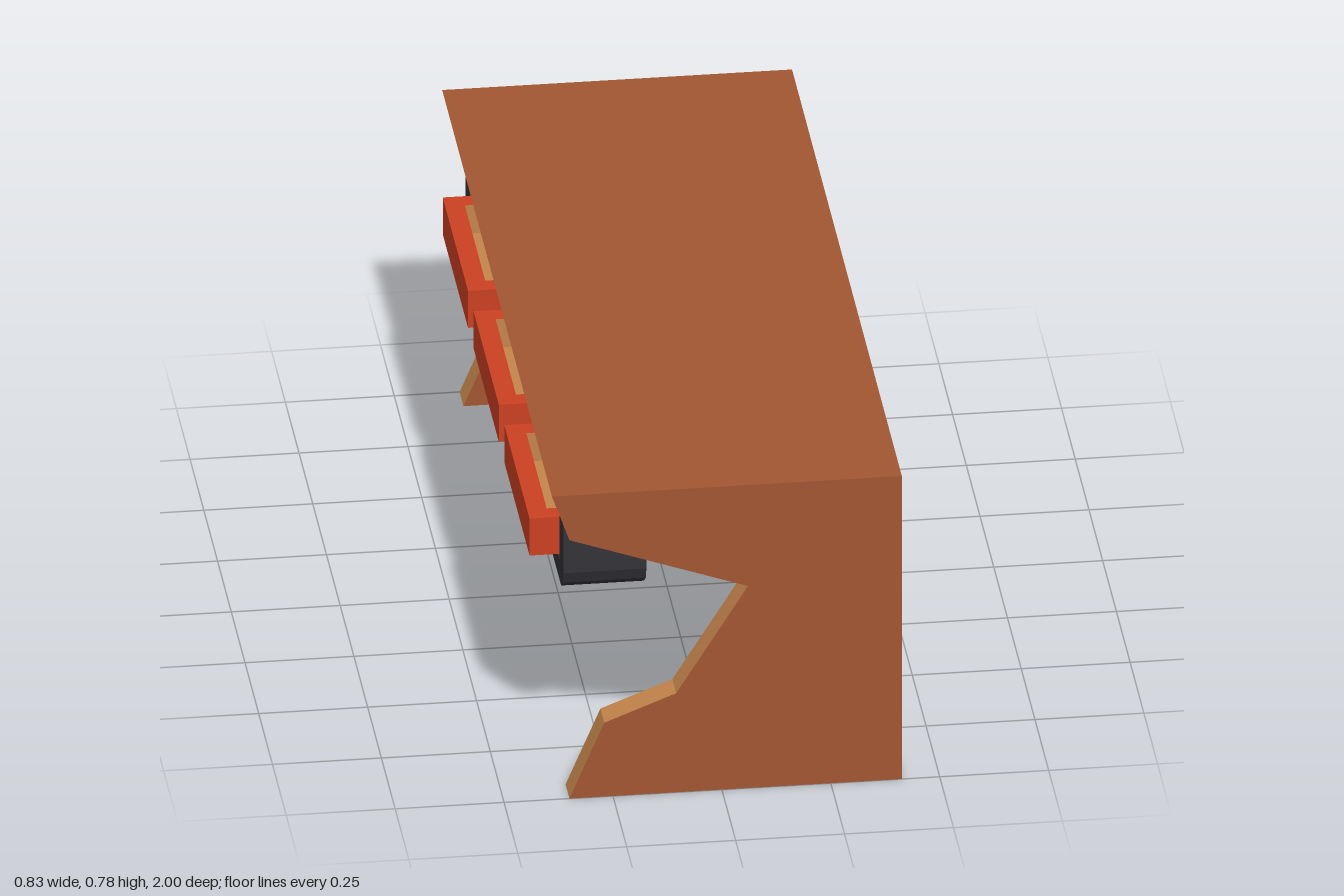
import * as THREE from 'three';

const mat = (name, color) => Object.assign(new THREE.MeshStandardMaterial({ color }), { name });

const shapeOf = (pts) => new THREE.Shape(pts.map(([x, y]) => new THREE.Vector2(x, y)));
const rect = (x0, x1, y0, y1) => [[x0, y0], [x1, y0], [x1, y1], [x0, y1]];
const extrude = (shape, depth) => new THREE.ExtrudeGeometry(shape, { depth, bevelEnabled: false });

// Give each triangle material 0 or 1, by a rule on its normal and centre
function paint(geo, rule) {
  geo.clearGroups();
  const p = geo.attributes.position;
  const tri = new THREE.Triangle(), n = new THREE.Vector3(), c = new THREE.Vector3();
  for (let i = 0; i < p.count; i += 3) {
    tri.setFromAttributeAndIndices(p, i, i + 1, i + 2);
    tri.getNormal(n);
    tri.getMidpoint(c);
    geo.addGroup(i, 3, rule(n, c) ? 0 : 1);
  }
  return geo;
}

export function createModel() {
  const desk = new THREE.Group();
  desk.name = 'desk';
  const wood = mat('brown wood', 0xa25631);
  const edge = mat('light wood edge', 0xc4854c);
  const red = mat('red drawer', 0xcb4022);
  const dark = mat('dark metal', 0x323238);

  const add = (name, geo, material, x = 0, y = 0, z = 0) => {
    const m = new THREE.Mesh(geo, material);
    m.name = name;
    m.position.set(x, y, z);
    desk.add(m);
    return m;
  };
  const box = (name, material, x0, x1, y0, y1, z0, z1) =>
    add(name, new THREE.BoxGeometry(x1 - x0, y1 - y0, z1 - z0), material,
      (x0 + x1) / 2, (y0 + y1) / 2, (z0 + z1) / 2);

  // Brown faces with light edges
  const veneer = (n, c) => Math.abs(n.z) > 0.9 || (Math.abs(n.y) > 0.99 && c.y > 0.7);

  // Desk top with a slanted back edge
  const top = shapeOf([[-0.369, 0.72], [0.413, 0.72], [0.413, 0.78], [-0.39, 0.78]]);
  add('deskTop', paint(extrude(top, 2), veneer), [wood, edge], 0, 0, -1);

  // Notched side panels
  const panel = shapeOf([[-0.35, 0], [0.413, 0], [0.413, 0.72], [-0.369, 0.72],
    [-0.35, 0.665], [0.06, 0.52], [-0.105, 0.255], [-0.27, 0.19]]);
  for (const z of [-1, 0.93]) {
    add('sidePanel', paint(extrude(panel, 0.07), veneer), [wood, edge], 0, 0, z);
  }

  // Bent brackets on the inside of the panels, lower end cut at a slant
  const bracket = shapeOf([[-0.35, 0.72], [-0.35, 0.68], [0.14, 0.515], [0.2, 0.48],
    [0.155, 0.265], [0.24, 0.255], [0.29, 0.51], [0.22, 0.55], [-0.2, 0.72]]);
  for (const side of [-1, 1]) {
    const geo = extrude(bracket, 0.035);
    const p = geo.attributes.position;
    for (let i = 0; i < p.count; i++) {
      const inner = side > 0 ? p.getZ(i) < 0.01 : p.getZ(i) > 0.01;
      if (inner && p.getY(i) < 0.3) p.setXY(i, p.getX(i) + 0.012, p.getY(i) + 0.07);
    }
    geo.computeVertexNormals();
    add('bracket', geo, dark, 0, 0, side > 0 ? 0.895 : -0.93);
  }

  // Rear frame: a ring with rounded lower corners
  const half = [[0.85, 0.47], [0.884, 0.495], [0.895, 0.525], [0.895, 0.72]];
  const ring = shapeOf([...half, ...half.map(([x, y]) => [-x, y]).reverse()]);
  ring.holes.push(shapeOf(rect(-0.82, 0.82, 0.52, 0.68)));
  add('rearFrame', extrude(ring, 0.19).rotateY(Math.PI / 2), dark, -0.35);

  // Cross bars under the drawers
  box('frontBar', dark, 0.21, 0.288, 0.48, 0.52, -0.93, 0.93);
  box('woodBeam', wood, 0.07, 0.175, 0.46, 0.519, -0.93, 0.93);

  // Three open drawers with a light lining
  const x0 = -0.415, x1 = 0.373, rim = 0.045, w = 0.23;
  for (const z of [-0.56, 0, 0.56]) {
    const wall = shapeOf(rect(x0, x1, -w, w));
    wall.holes.push(shapeOf(rect(x0 + rim, x1 - rim, -w + rim, w - rim)));
    const isRed = (n, c) => Math.abs(n.y) > 0.5 || c.x < x0 + 0.01 || c.x > x1 - 0.01 ||
      Math.abs(c.z) > w - 0.01;
    const geo = extrude(wall, 0.095).rotateX(-Math.PI / 2);
    add('drawerWalls', paint(geo, isRed), [red, edge], 0, 0.52, z);
    box('drawerBase', red, x0 + rim, x1 - rim, 0.52, 0.535, z - w + rim, z + w - rim);
    box('drawerLining', edge, x0 + rim, x1 - rim, 0.535, 0.542, z - w + rim, z + w - rim);
  }

  return desk;
}
